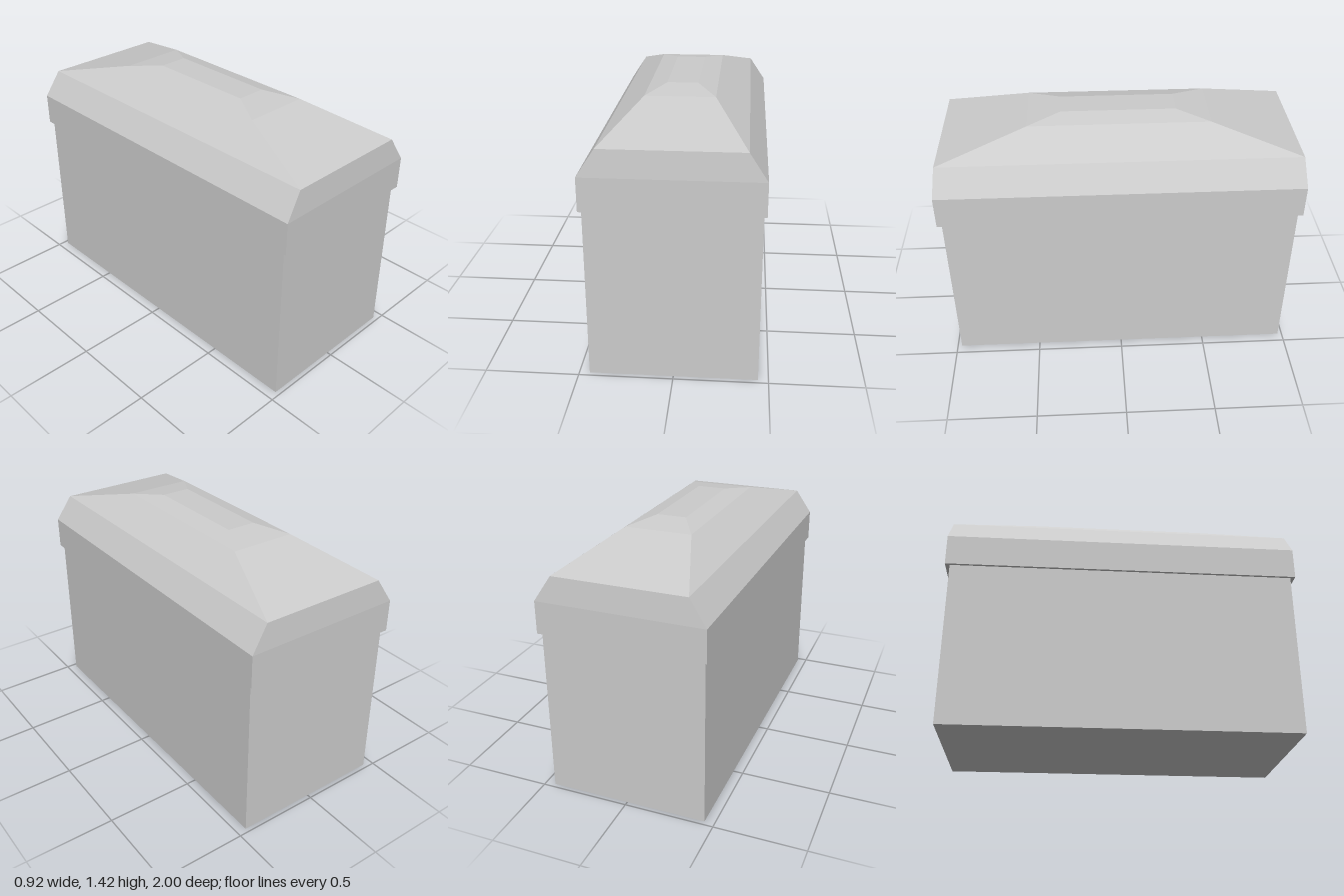
import * as THREE from 'three';

const grey = () => new THREE.MeshStandardMaterial({ color: 0xcccccc, flatShading: true });

// Joins rectangular rings [halfX, halfZ, y] from bottom to top and caps the last one.
function loftRectangles(rings) {
  const positions = [];
  const corners = rings.map(([x, z, y]) => [[x, y, z], [x, y, -z], [-x, y, -z], [-x, y, z]]);
  const quad = (a, b, c, d) => [a, b, c, a, c, d].forEach((p) => positions.push(...p));
  for (let r = 0; r < corners.length - 1; r++) {
    const low = corners[r], high = corners[r + 1];
    for (let i = 0; i < 4; i++) {
      const j = (i + 1) % 4;
      quad(low[i], low[j], high[j], high[i]);
    }
  }
  quad(...corners[corners.length - 1]);
  const geometry = new THREE.BufferGeometry();
  geometry.setAttribute('position', new THREE.Float32BufferAttribute(positions, 3));
  geometry.computeVertexNormals();
  return geometry;
}

export function createModel() {
  const group = new THREE.Group();
  group.name = 'chest';

  // Plain box body, its top hidden inside the lid
  const bodyHeight = 0.96;
  const body = new THREE.Mesh(new THREE.BoxGeometry(0.89, bodyHeight, 1.95), grey());
  body.name = 'body';
  body.position.y = bodyHeight / 2;
  group.add(body);

  // Overhanging lid: underside rim, upright band, then three hipped slopes to a flat top
  const lid = new THREE.Mesh(loftRectangles([
    [0.43, 0.96, 0.94],
    [0.46, 1.0, 0.94],
    [0.46, 1.0, 1.12],
    [0.366, 0.987, 1.262],
    [0.187, 0.5, 1.39],
    [0.083, 0.315, 1.417],
  ]), grey());
  lid.name = 'lid';
  group.add(lid);

  return group;
}
